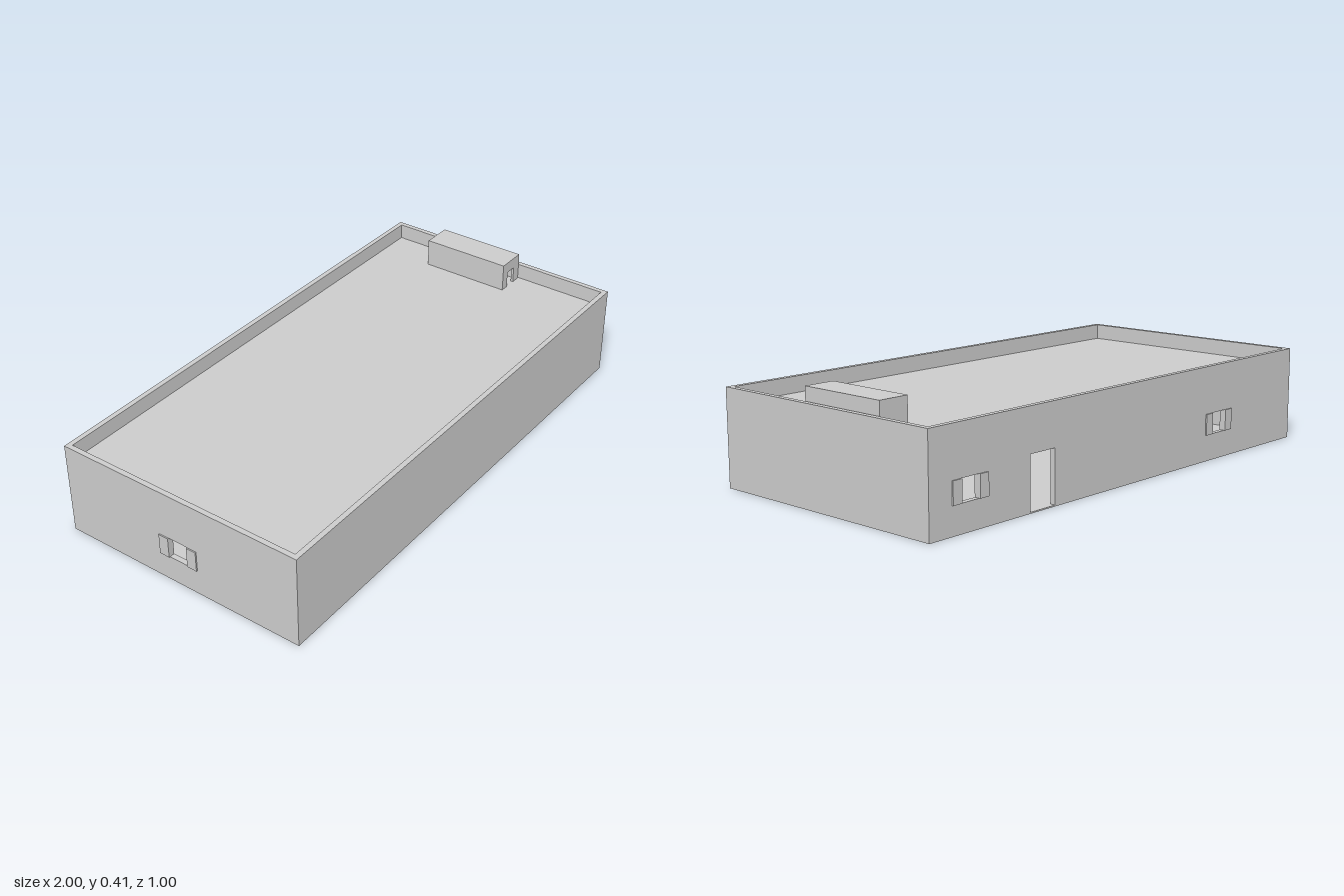
import * as THREE from 'three';

const material = new THREE.MeshStandardMaterial({ color: 0xcccccc, flatShading: true });

// Extents of the shell
const X0 = -0.995, X1 = 1, Z0 = -0.495, Z1 = 0.5;
const WALL = 0.02, FLOOR = 0.005, ROOF = 0.3, TOP = 0.36;

function add(parent, name, geometry) {
  const mesh = new THREE.Mesh(geometry, material);
  mesh.name = name;
  parent.add(mesh);
  return mesh;
}

// Box given by its minimum and maximum corners
function box(parent, name, x0, x1, y0, y1, z0, z1) {
  const mesh = add(parent, name, new THREE.BoxGeometry(x1 - x0, y1 - y0, z1 - z0));
  mesh.position.set((x0 + x1) / 2, (y0 + y1) / 2, (z0 + z1) / 2);
  return mesh;
}

// Flat panel with rectangular holes [a0, a1, b0, b1] and an optional doorway notch [a0, a1, top]
function panel(parent, name, [a0, a1, b0, b1], thickness, holes = [], door = null) {
  const points = [[a0, b0]];
  if (door) points.push([door[0], b0], [door[0], door[2]], [door[1], door[2]], [door[1], b0]);
  points.push([a1, b0], [a1, b1], [a0, b1]);
  const shape = new THREE.Shape(points.map(p => new THREE.Vector2(...p)));
  for (const [h0, h1, v0, v1] of holes) {
    shape.holes.push(new THREE.Path([[h0, v0], [h0, v1], [h1, v1], [h1, v0]]
      .map(p => new THREE.Vector2(...p))));
  }
  return add(parent, name, new THREE.ExtrudeGeometry(shape, { depth: thickness, bevelEnabled: false }));
}

export function createModel() {
  const model = new THREE.Group();
  model.name = 'flatRoofBuilding';

  // Floor slab and plain walls, which rise past the roof as a parapet
  box(model, 'floor', X0, X1, 0, FLOOR, Z0, Z1);
  box(model, 'frontWall', X0, X1, FLOOR, TOP, Z1 - WALL, Z1);
  box(model, 'leftWall', X1 - WALL, X1, FLOOR, TOP, Z0 + WALL, Z1 - WALL);

  // Back wall with a doorway and two windows
  const sill = 0.1, head = 0.18, half = 0.04;
  const windowXs = [-0.51, 0.82];
  const backWall = panel(model, 'backWall', [X0, X1, FLOOR, TOP], WALL,
    windowXs.map(x => [x - half, x + half, sill, head]), [0.42, 0.54, 0.2]);
  backWall.position.z = Z0;

  // Right wall with one window
  const rightWall = panel(model, 'rightWall', [Z0 + WALL, Z1 - WALL, FLOOR, TOP], WALL,
    [[-half, half, sill, head]]);
  rightWall.rotation.y = -Math.PI / 2;
  rightWall.position.x = X0 + WALL;

  // Open shutters on both sides of every window
  for (const side of [-1, 1]) {
    const c = side * 0.06;
    for (const x of windowXs) {
      box(model, 'shutter', x + c - 0.02, x + c + 0.02, sill, head, Z0 - 0.005, Z0);
    }
    box(model, 'shutter', X0 - 0.005, X0, sill, head, c - 0.02, c + 0.02);
  }

  // Roof slab, open above the stairs
  const hx0 = 0.855, hx1 = 0.975, hz0 = -0.255, hz1 = 0.105, t = 0.01;
  const roof = panel(model, 'roof', [X0 + WALL, X1 - WALL, Z0 + WALL, Z1 - WALL], WALL,
    [[hx0 + t, hx1 - t, hz0 + t, 0.02]]);
  roof.rotation.x = Math.PI / 2;
  roof.position.y = ROOF;

  // Stair house on the roof, with a doorway to the front
  const stairHouse = new THREE.Group();
  stairHouse.name = 'stairHouse';
  model.add(stairHouse);
  const lid = 0.40, peak = 0.41;
  box(stairHouse, 'stairHouseRoof', hx0, hx1, lid, peak, hz0, hz1);
  box(stairHouse, 'stairHouseBack', hx0, hx1, ROOF, lid, hz0, hz0 + t);
  box(stairHouse, 'stairHouseSide', hx0, hx0 + t, ROOF, lid, hz0 + t, hz1 - t);
  box(stairHouse, 'stairHouseSide', hx1 - t, hx1, ROOF, lid, hz0 + t, hz1 - t);
  const front = panel(stairHouse, 'stairHouseFront', [hx0, hx1, ROOF, lid], t, [], [0.89, 0.937, 0.365]);
  front.position.z = hz1 - t;

  // Stairs climbing from the back towards the roof doorway
  const steps = 12, run = (0.02 - hz0 - t) / steps, rise = (ROOF - FLOOR) / steps;
  for (let i = 0; i < steps; i++) {
    const z = hz0 + t + i * run, y = FLOOR + i * rise;
    box(model, 'stairStep', hx0 + t, hx1 - t, Math.max(FLOOR, y - rise), y + rise, z, z + run);
  }
  return model;
}
